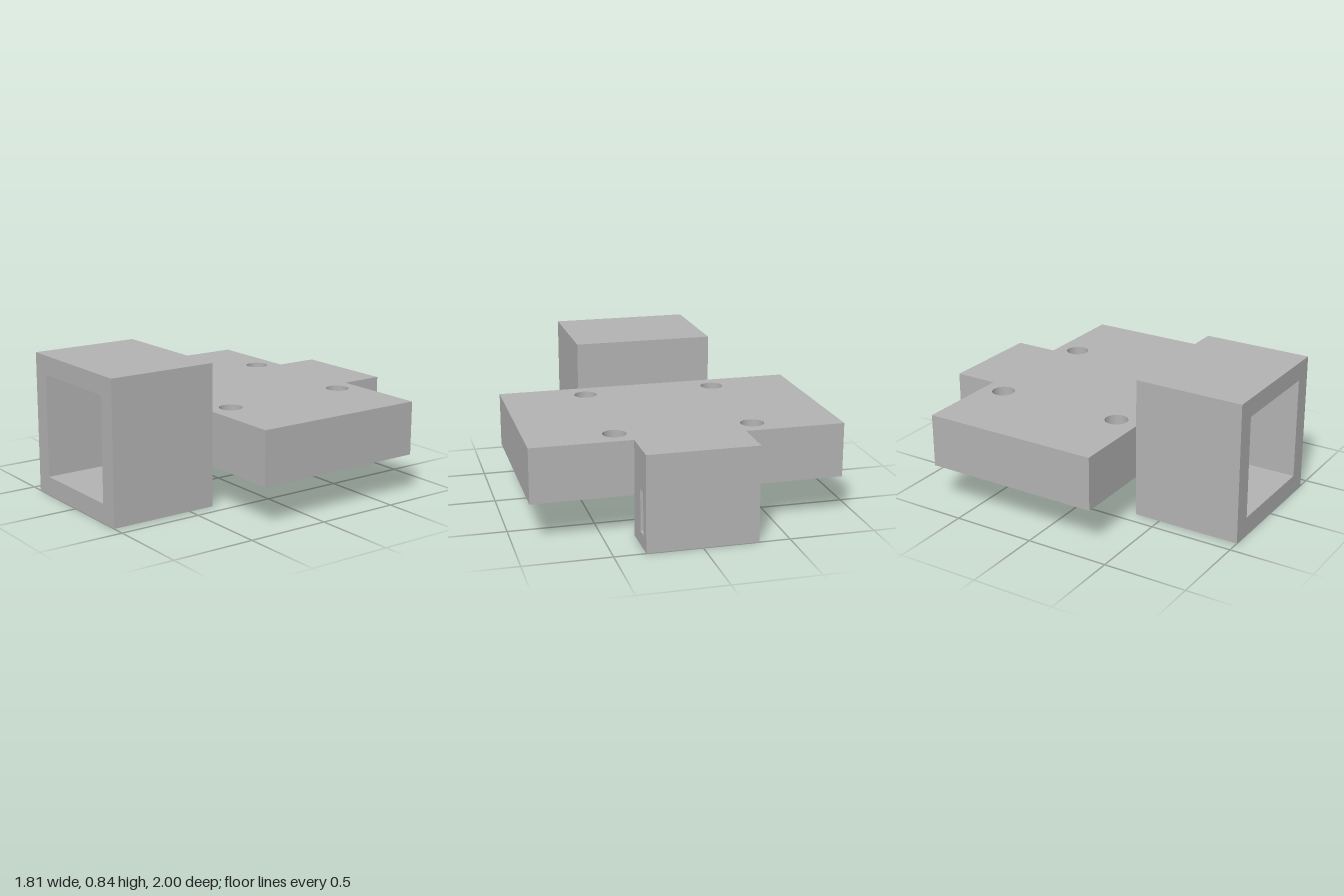
import * as THREE from 'three';
import { toCreasedNormals } from 'three/addons/utils/BufferGeometryUtils.js';

// Traces a rectangle on a shape or a hole path
function rect(path, u0, v0, u1, v1) {
  path.moveTo(u0, v0);
  path.lineTo(u1, v0);
  path.lineTo(u1, v1);
  path.lineTo(u0, v1);
  path.closePath();
  return path;
}

function extrude(shape, depth) {
  const geometry = new THREE.ExtrudeGeometry(shape, { depth, bevelEnabled: false, curveSegments: 40 });
  return toCreasedNormals(geometry, Math.PI / 6);
}

export function createModel() {
  const model = new THREE.Group();
  const grey = new THREE.MeshStandardMaterial({ color: 0xb3b3b3 });
  grey.name = 'grey';

  function add(name, geometry) {
    const mesh = new THREE.Mesh(geometry, grey);
    mesh.name = name;
    model.add(mesh);
  }

  // Mounting plate with four through holes, drawn in x and z
  const plate = rect(new THREE.Shape(), -0.905, -0.735, 0.905, 0.342);
  for (const x of [-0.4, 0.4]) {
    for (const z of [-0.6, 0.2]) {
      plate.holes.push(new THREE.Path().absarc(x, z, 0.068, 0, Math.PI * 2, true));
    }
  }
  add('mountingPlate', extrude(plate, 0.32).rotateX(Math.PI / 2).translate(0, 0.56, 0));

  // Square socket, open to the front
  const socket = rect(new THREE.Shape(), -0.418, 0, 0.418, 0.84);
  socket.holes.push(rect(new THREE.Path(), -0.307, 0.113, 0.307, 0.728));
  add('socketWalls', extrude(socket, 0.58).translate(0, 0, 0.42));
  add('socketBack', new THREE.BoxGeometry(0.836, 0.84, 0.078).translate(0, 0.42, 0.381));

  // Rear tab with a slot running from side to side, drawn in z and y
  const tab = rect(new THREE.Shape(), -1, 0, -0.735, 0.56);
  tab.holes.push(rect(new THREE.Path(), -0.935, 0.08, -0.868, 0.323));
  add('rearTab', extrude(tab, 0.64).rotateY(-Math.PI / 2).translate(0.32, 0, 0));

  return model;
}
